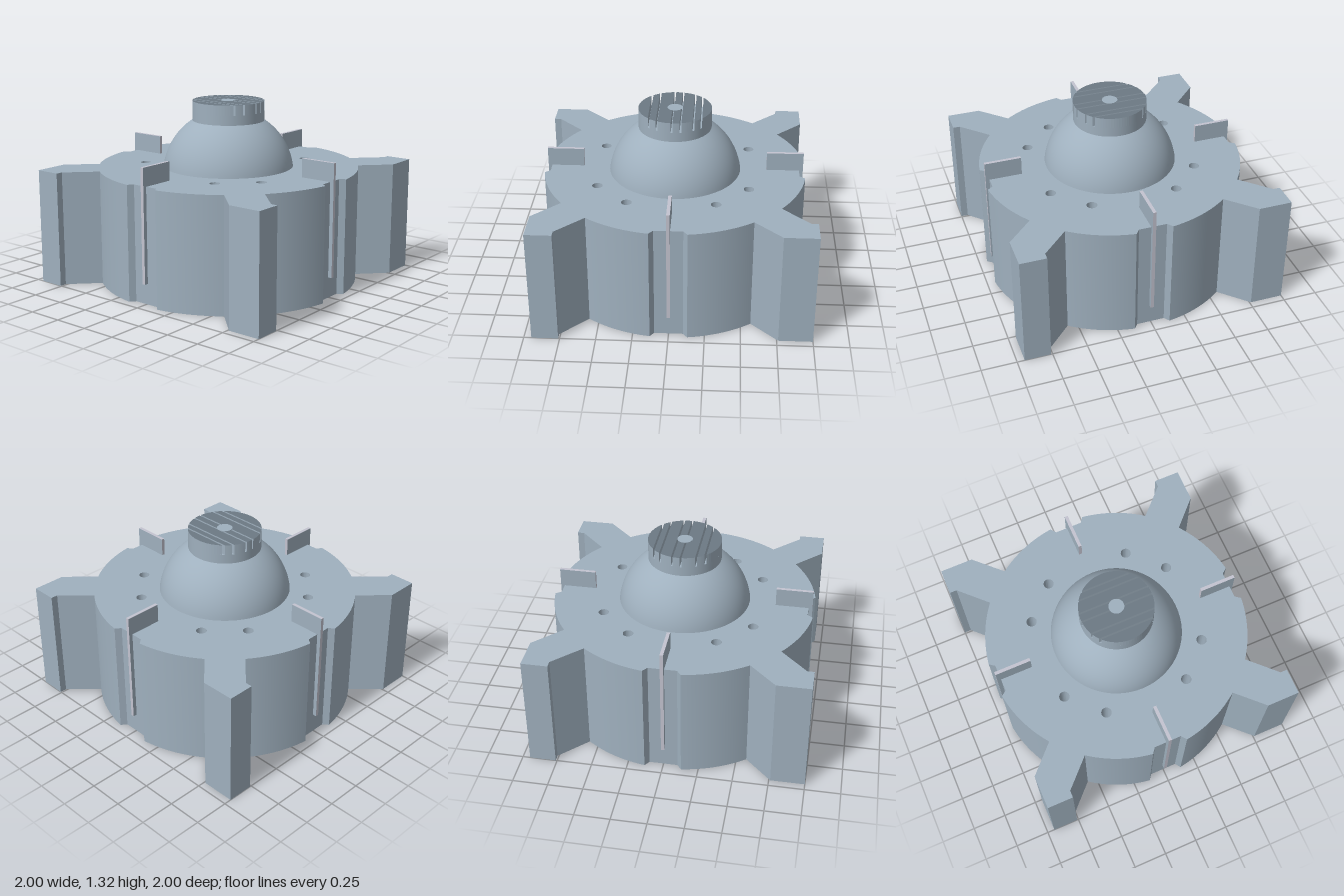
import * as THREE from 'three';
import { toCreasedNormals } from 'three/addons/utils/BufferGeometryUtils.js';

const TOP = 0.835, DOME_Y = 0.768, DOME_R = 0.48, CAP_R = 0.262;

const mat = (name, color) => {
  const m = new THREE.MeshStandardMaterial({ color });
  m.name = name;
  return m;
};

const polar = (r, a) => new THREE.Vector2(r * Math.cos(a), r * Math.sin(a));

// Points along an arc, both ends included
function arc(r, a0, a1, n) {
  return Array.from({ length: n + 1 }, (_, i) => polar(r, a0 + (a1 - a0) * i / n));
}

// Upright prism from a plan drawn in (x, z)
function prism(shape, y0, y1) {
  const g = new THREE.ExtrudeGeometry(shape, { depth: y1 - y0, bevelEnabled: false, curveSegments: 24 });
  return g.rotateX(Math.PI / 2).translate(0, y1, 0);
}

export function createModel() {
  const group = new THREE.Group();
  const body = mat('blue grey', 0x9fb0be);
  const dark = mat('dark grey', 0x6c7984);
  const light = mat('pale lilac', 0xc4c4d0);
  const add = (name, geometry, material) => {
    const m = new THREE.Mesh(geometry, material);
    m.name = name;
    group.add(m);
    return m;
  };

  // Drum outline: one quarter with a notch and a hooked arm, turned four times
  const v = (x, z) => new THREE.Vector2(x, z);
  const aNotch = Math.atan2(0.13, 0.941), aArm = Math.atan2(0.57, 0.76);
  const quarter = [
    v(0.902, -0.1), v(0.902, 0.1),
    ...arc(0.95, aNotch, aArm, 16),
    v(0.95, 0.76), v(1, 0.76), v(1, 0.947), v(0.76, 0.947),
    ...arc(0.95, Math.PI / 2 - aArm, Math.PI / 2 - aNotch, 16),
  ];
  const outline = [];
  for (let k = 0; k < 4; k++)
    for (const p of quarter) outline.push(p.clone().rotateAround(v(0, 0), k * Math.PI / 2));
  const plan = new THREE.Shape(outline);

  // Bolt holes, centre hole and curved slots
  const hole = (x, z, r) => plan.holes.push(new THREE.Path().absarc(x, z, r, 0, Math.PI * 2, true));
  hole(0, 0, 0.045);
  for (let k = 0; k < 4; k++) {
    const a = k * Math.PI / 2;
    for (const s of [-1, 1]) {
      const p = polar(0.62, a + s * Math.PI / 6);
      hole(p.x, p.y, 0.037);
    }
    plan.holes.push(new THREE.Path([...arc(0.335, a - 0.45, a + 0.45, 12), ...arc(0.31, a + 0.45, a - 0.45, 12)]));
  }
  add('drum', toCreasedNormals(prism(plan, 0, TOP), 0.4), body);

  // Dome, closed underneath
  const a0 = Math.asin((TOP - DOME_Y) / DOME_R), a1 = Math.acos(CAP_R / DOME_R);
  const rim = arc(DOME_R, a0, a1, 20).map(p => v(p.x, p.y + DOME_Y));
  add('dome', new THREE.LatheGeometry(rim, 64), body);
  const base = add('domeBase', new THREE.CircleGeometry(0.475, 64), body);
  base.rotation.x = Math.PI / 2;
  base.position.y = TOP;

  // Cap neck with a row of slotted strips above it
  add('capNeck', new THREE.CylinderGeometry(CAP_R, CAP_R, 0.08, 64).translate(0, 1.2, 0), body);
  const slots = [-0.175, -0.117, -0.012, 0.049, 0.139, 0.191], half = 0.0065;
  const cuts = [-CAP_R, ...slots.flatMap(x => [x - half, x + half]), CAP_R];
  for (let i = 0; i < cuts.length; i += 2) {
    const t0 = Math.acos(cuts[i] / CAP_R), t1 = Math.acos(cuts[i + 1] / CAP_R);
    const strip = new THREE.Shape([...arc(CAP_R, t1, t0, 10), ...arc(CAP_R, -t0, -t1, 10)]);
    add('capStrip', prism(strip, 1.24, 1.314), [dark, body]);
  }
  add('capCentre', new THREE.CylinderGeometry(0.055, 0.055, 0.002, 24).translate(0, 1.3145, 0), body);

  // Upright fins in the notches, with pale edges
  for (let k = 0; k < 4; k++) {
    const fin = add('fin', new THREE.BoxGeometry(0.265, 0.82, 0.024).translate(0.7975, 0.56, 0),
      [light, light, light, light, body, body]);
    fin.rotation.y = k * Math.PI / 2;
  }
  return group;
}
